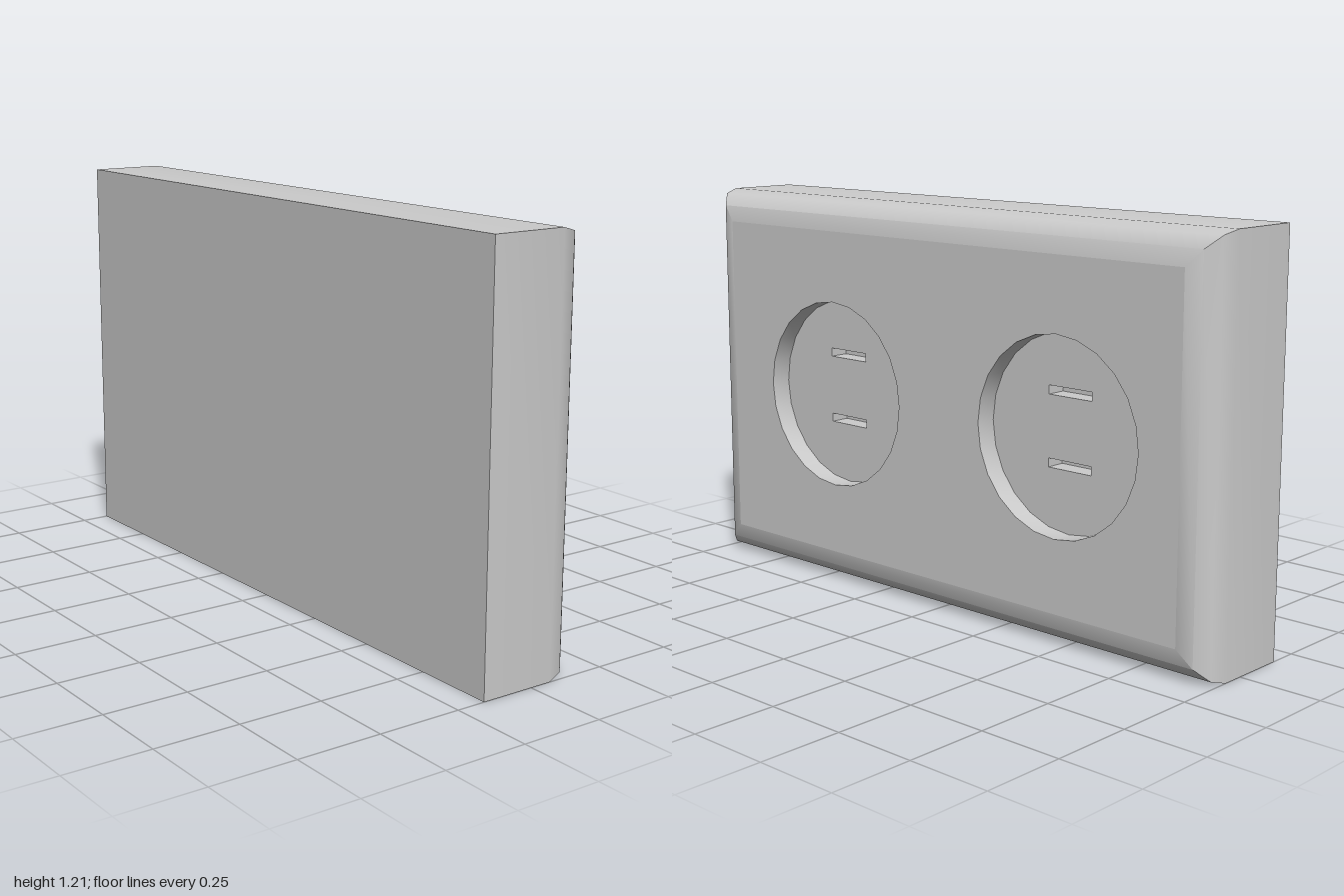
import * as THREE from 'three';
import { toCreasedNormals } from 'three/addons/utils/BufferGeometryUtils.js';

const W = 2, H = 1.21, D = 0.326;
const FACE = D / 2;            // socket face, before the plate is turned to the back
const FLOOR = FACE - 0.065;    // bottom of the round recesses
const SLOT_END = FLOOR - 0.06;

const material = new THREE.MeshStandardMaterial({ color: 0xcccccc });

// Counter-clockwise outlines
const rect = (w, h, cx = 0, cy = 0) => [[1, 1], [-1, 1], [-1, -1], [1, -1]]
  .map(([x, y]) => new THREE.Vector2(cx + x * w / 2, cy + y * h / 2));

const circle = (r, cx, cy, n = 24) => Array.from({ length: n }, (_, i) => {
  const a = (i / n) * Math.PI * 2;
  return new THREE.Vector2(cx + r * Math.cos(a), cy + r * Math.sin(a));
});

// Skin over a stack of outlines: [{ points, z }, ...]
function skin(name, rings) {
  const pos = [];
  for (let k = 0; k < rings.length - 1; k++) {
    const a = rings[k], b = rings[k + 1], n = a.points.length;
    for (let i = 0; i < n; i++) {
      const j = (i + 1) % n;
      const corner = (ring, m) => [ring.points[m].x, ring.points[m].y, ring.z];
      pos.push(...corner(a, i), ...corner(a, j), ...corner(b, j));
      pos.push(...corner(a, i), ...corner(b, j), ...corner(b, i));
    }
  }
  const geometry = new THREE.BufferGeometry();
  geometry.setAttribute('position', new THREE.Float32BufferAttribute(pos, 3));
  const mesh = new THREE.Mesh(toCreasedNormals(geometry, 0.6), material);
  mesh.name = name;
  return mesh;
}

// Flat panel with openings
function panel(name, outline, z, holes = []) {
  const shape = new THREE.Shape(outline);
  holes.forEach((h) => shape.holes.push(new THREE.Path(h)));
  const mesh = new THREE.Mesh(new THREE.ShapeGeometry(shape), material);
  mesh.position.z = z;
  mesh.name = name;
  return mesh;
}

export function createModel() {
  const group = new THREE.Group();
  group.name = 'doubleSocket';
  const plate = new THREE.Group();
  plate.name = 'plate';
  plate.position.y = H / 2;
  plate.rotation.y = Math.PI;   // sockets look towards -z
  group.add(plate);

  // Block with a rounded, mitred border
  const R = 0.097;
  const rings = [{ points: rect(W, H), z: -FACE }];
  for (let i = 0; i <= 3; i++) {
    const a = (i / 3) * Math.PI / 2;
    const inset = R * (1 - Math.cos(a));
    rings.push({ points: rect(W - 2 * inset, H - 2 * inset), z: FACE - R + R * Math.sin(a) });
  }
  plate.add(skin('body', rings));

  const flat = panel('mountingFace', rect(W, H), -FACE);
  flat.rotation.y = Math.PI;
  plate.add(flat);

  // Round recesses, each with two slots
  const wells = [-0.427, 0.477].map((x) => circle(0.29, x, 0));
  plate.add(panel('socketFace', rect(W - 2 * R, H - 2 * R), FACE, wells));

  [-0.427, 0.477].forEach((x, i) => {
    const socket = new THREE.Group();
    socket.name = 'socket' + (i + 1);
    const slots = [-1, 1].map((s) => rect(0.155, 0.026, x, 0.012 + s * 0.105));
    socket.add(skin('recessWall', [{ points: wells[i], z: FACE }, { points: wells[i], z: FLOOR }]));
    socket.add(panel('recessFloor', wells[i], FLOOR, slots));
    slots.forEach((points) => {
      socket.add(skin('slotWall', [{ points, z: FLOOR }, { points, z: SLOT_END }]));
      socket.add(panel('slotEnd', points, SLOT_END));
    });
    plate.add(socket);
  });

  return group;
}
